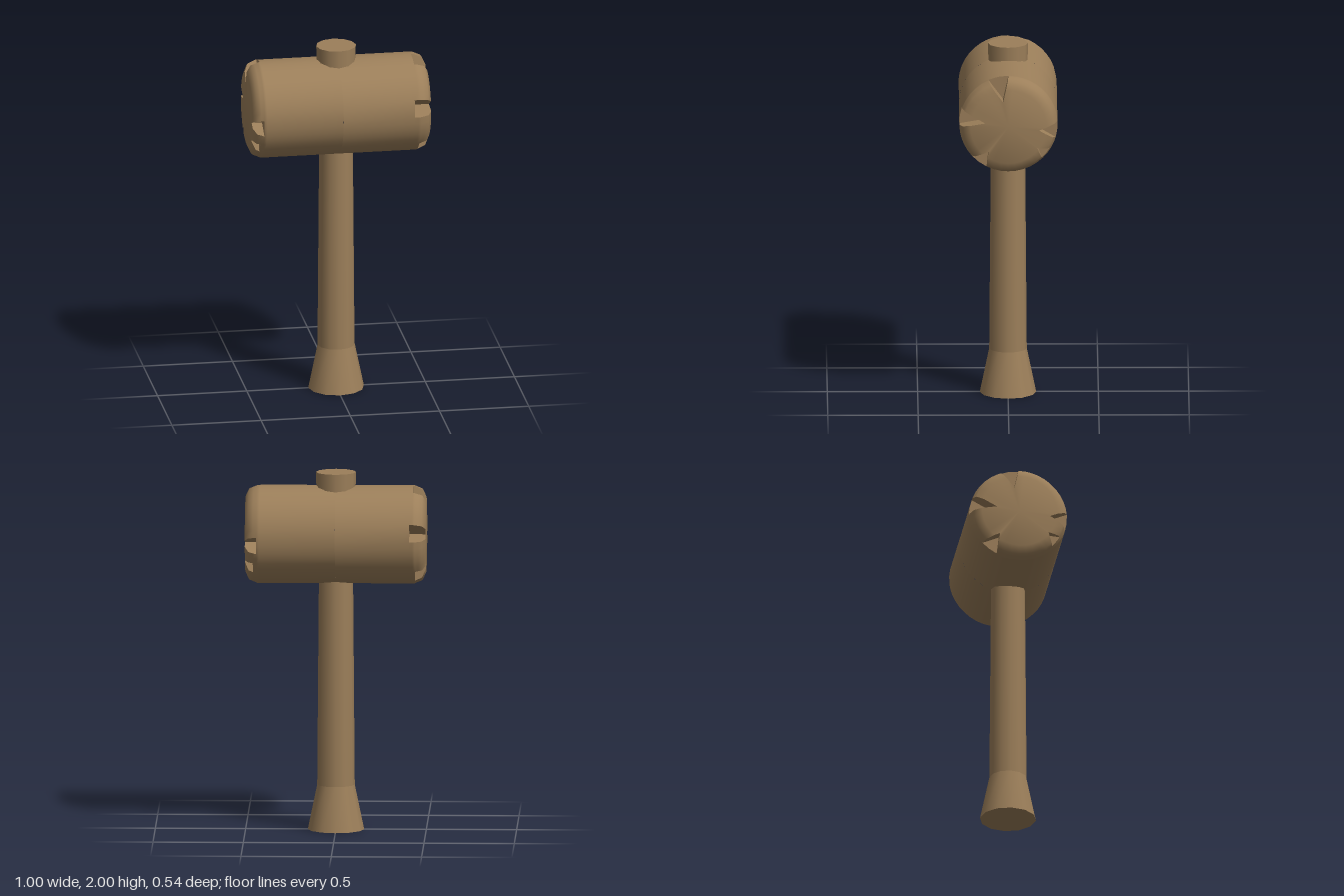
import * as THREE from 'three';
import { toCreasedNormals } from 'three/addons/utils/BufferGeometryUtils.js';

const HEAD_Y = 1.652;
const RAD = Math.PI / 180;

// V-shaped chips in a striking face: start, apex and end angle, apex radius, depth along x
const CHIPS = [
  [-1, 9, 19.5, 0.129, 0.1],
  [66, 78, 90, 0.143, 0.08],
  [176, 187, 196, 0.171, 0.064],
  [208.6, 217.3, 226, 0.201, 0.045],
  [296.6, 307.6, 318.2, 0.18, 0.065],
];

// Half profile of the head: x, radius
const PROFILE = [[0, 0.272], [0.435, 0.272], [0.48, 0.253], [0.5, 0.21]];

function radiusAt(x) {
  let i = 1;
  while (i < PROFILE.length - 1 && x > PROFILE[i][0]) i++;
  const [x0, r0] = PROFILE[i - 1], [x1, r1] = PROFILE[i];
  return r0 + (r1 - r0) * (x - x0) / (x1 - x0);
}

const polar = (r, deg) => new THREE.Vector2(r * Math.cos(deg * RAD), r * Math.sin(deg * RAD));

// Point where the chip wall (apex to rim) meets the circle of radius r
function wallPoint(apex, rim, r) {
  const d = rim.clone().sub(apex);
  const a = d.dot(d), b = apex.dot(d), c = apex.dot(apex) - r * r;
  return apex.clone().addScaledVector(d, (-b + Math.sqrt(b * b - a * c)) / a);
}

// One cross-section; chips whose floor lies behind it are cut in
function ring(x, after, depthScale) {
  const r = radiusAt(x), pts = [];
  CHIPS.forEach(([start, mid, end, apexR, depth], i) => {
    const floor = 0.5 - depth * depthScale;
    const open = after ? x > floor - 1e-6 : x > floor + 1e-6;
    const apex = polar(apexR, mid);
    const first = wallPoint(apex, polar(0.272, start), r);
    const last = wallPoint(apex, polar(0.272, end), r);
    pts.push(first, open ? apex : polar(r, mid), last);
    // Arc to the next chip
    const next = CHIPS[(i + 1) % CHIPS.length];
    const from = Math.atan2(last.y, last.x) / RAD;
    const target = wallPoint(polar(next[3], next[1]), polar(0.272, next[0]), r);
    const span = (Math.atan2(target.y, target.x) / RAD - from + 720) % 360;
    const steps = Math.max(2, Math.round((next[0] - end + 360) % 360 / 9));
    for (let k = 1; k < steps; k++) pts.push(polar(r, from + span * k / steps));
  });
  return pts.map(p => new THREE.Vector3(x, p.y, p.x));
}

// Half of the head, from the middle to one chipped face
function halfHead(depthScale) {
  const rings = [];
  const floors = CHIPS.map(c => 0.5 - c[4] * depthScale);
  const stations = [...PROFILE.map(p => p[0]), ...floors].sort((a, b) => a - b);
  for (const x of stations) {
    rings.push(ring(x, false, depthScale));
    if (floors.includes(x)) rings.push(ring(x, true, depthScale));
  }
  const pos = [];
  const tri = (a, b, c) => {
    const n = b.clone().sub(a).cross(c.clone().sub(a));
    if (n.length() > 1e-8) for (const p of [a, b, c]) pos.push(p.x, p.y, p.z);
  };
  const count = rings[0].length;
  for (let j = 0; j < rings.length - 1; j++) {
    for (let i = 0; i < count; i++) {
      const k = (i + 1) % count, p = rings[j], q = rings[j + 1];
      tri(p[i], q[i], q[k]);
      tri(p[i], q[k], p[k]);
    }
  }
  // Striking face
  const face = rings[rings.length - 1], centre = new THREE.Vector3(0.5, 0, 0);
  for (let i = 0; i < count; i++) tri(centre, face[(i + 1) % count], face[i]);

  const geo = new THREE.BufferGeometry();
  geo.setAttribute('position', new THREE.Float32BufferAttribute(pos, 3));
  return toCreasedNormals(geo, 0.8);
}

export function createModel() {
  const model = new THREE.Group();
  model.name = 'mallet';
  const wood = new THREE.MeshStandardMaterial({ color: 0x9c7f5a });
  wood.name = 'wood';

  const add = (name, geo, y, parent = model) => {
    const mesh = new THREE.Mesh(geo, wood);
    mesh.name = name;
    mesh.position.y = y;
    parent.add(mesh);
    return mesh;
  };

  // Head: the second half is the first turned half way round, with shallower chips
  const head = new THREE.Group();
  head.name = 'head';
  model.add(head);
  add('leftHeadHalf', halfHead(1), HEAD_Y, head);
  add('rightHeadHalf', halfHead(0.9), HEAD_Y, head).rotation.y = Math.PI;

  // Handle with flared grip, and its end showing above the head
  add('flaredGrip', new THREE.CylinderGeometry(0.104, 0.156, 0.25, 12), 0.125);
  add('handle', new THREE.CylinderGeometry(0.094, 0.104, 1.25, 12, 1, true), 0.875);
  add('handleTop', new THREE.CylinderGeometry(0.111, 0.106, 0.2, 12), 1.9);

  return model;
}
